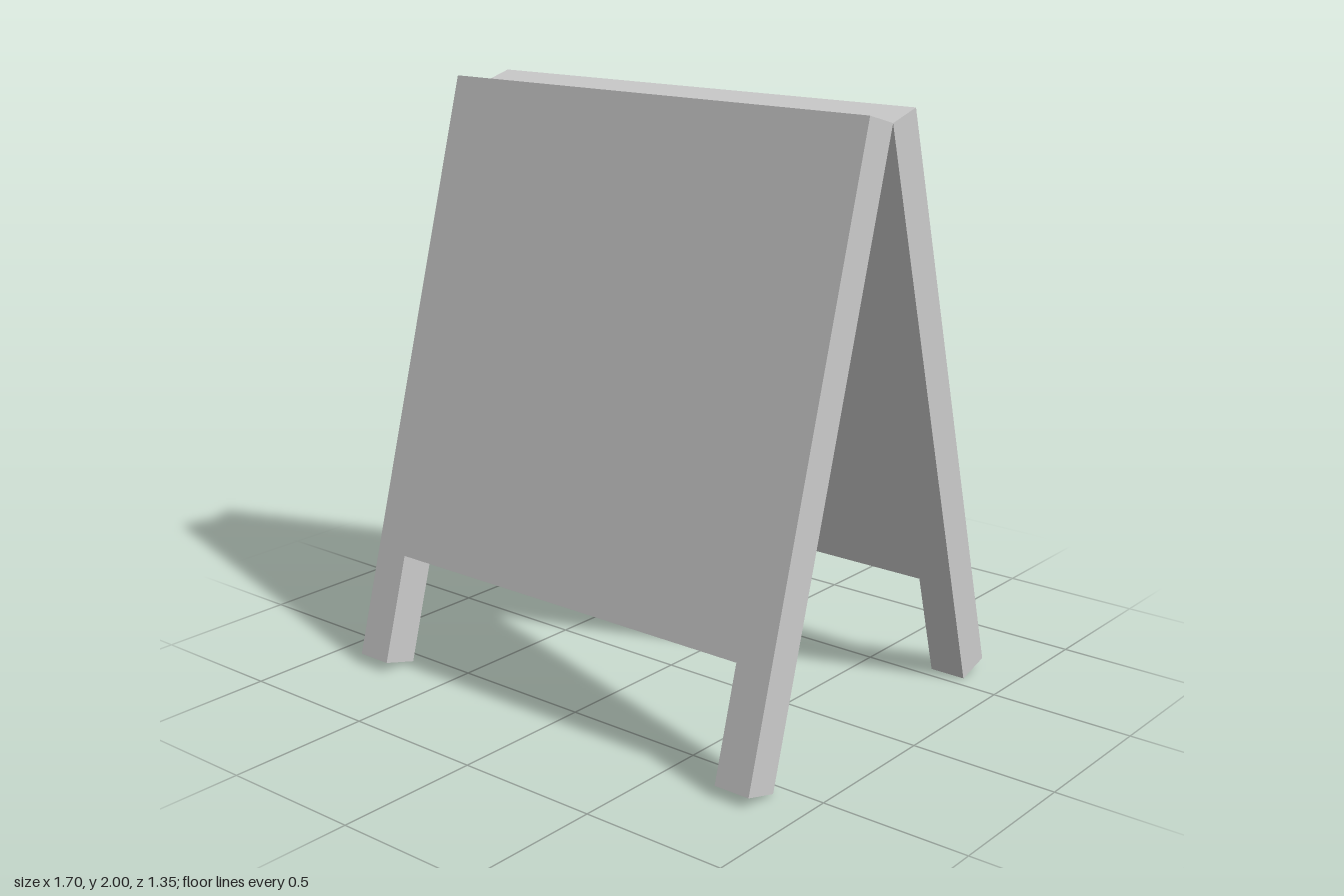
import * as THREE from 'three';

const HALF_WIDTH = 0.85;
const LEG_WIDTH = 0.128;
const LEG_HEIGHT = 0.379;
const LENGTH = 2.042;
const THICKNESS = 0.128;
const TILT = Math.atan2(0.55, 1.966);
const HINGE_Y = LENGTH * Math.cos(TILT);

// Board outline hanging down from the hinge edge, with a leg at each side
function boardShape() {
  const inner = HALF_WIDTH - LEG_WIDTH;
  const notch = LEG_HEIGHT - LENGTH;
  return new THREE.Shape([
    [-HALF_WIDTH, 0], [-HALF_WIDTH, -LENGTH], [-inner, -LENGTH], [-inner, notch],
    [inner, notch], [inner, -LENGTH], [HALF_WIDTH, -LENGTH], [HALF_WIDTH, 0],
  ].map(([x, y]) => new THREE.Vector2(x, y)));
}

export function createModel() {
  const model = new THREE.Group();
  model.name = 'sandwichBoard';
  const material = new THREE.MeshStandardMaterial({ color: 0xcccccc, flatShading: true });
  const geometry = new THREE.ExtrudeGeometry(boardShape(), { depth: THICKNESS, bevelEnabled: false });

  // Two identical boards lean together and meet along their inner top edges
  for (const [name, turn] of [['frontBoard', 0], ['backBoard', Math.PI]]) {
    const board = new THREE.Mesh(geometry, material);
    board.name = name;
    board.position.y = HINGE_Y;
    board.rotation.set(-TILT, turn, 0, 'YXZ');
    model.add(board);
  }
  return model;
}
